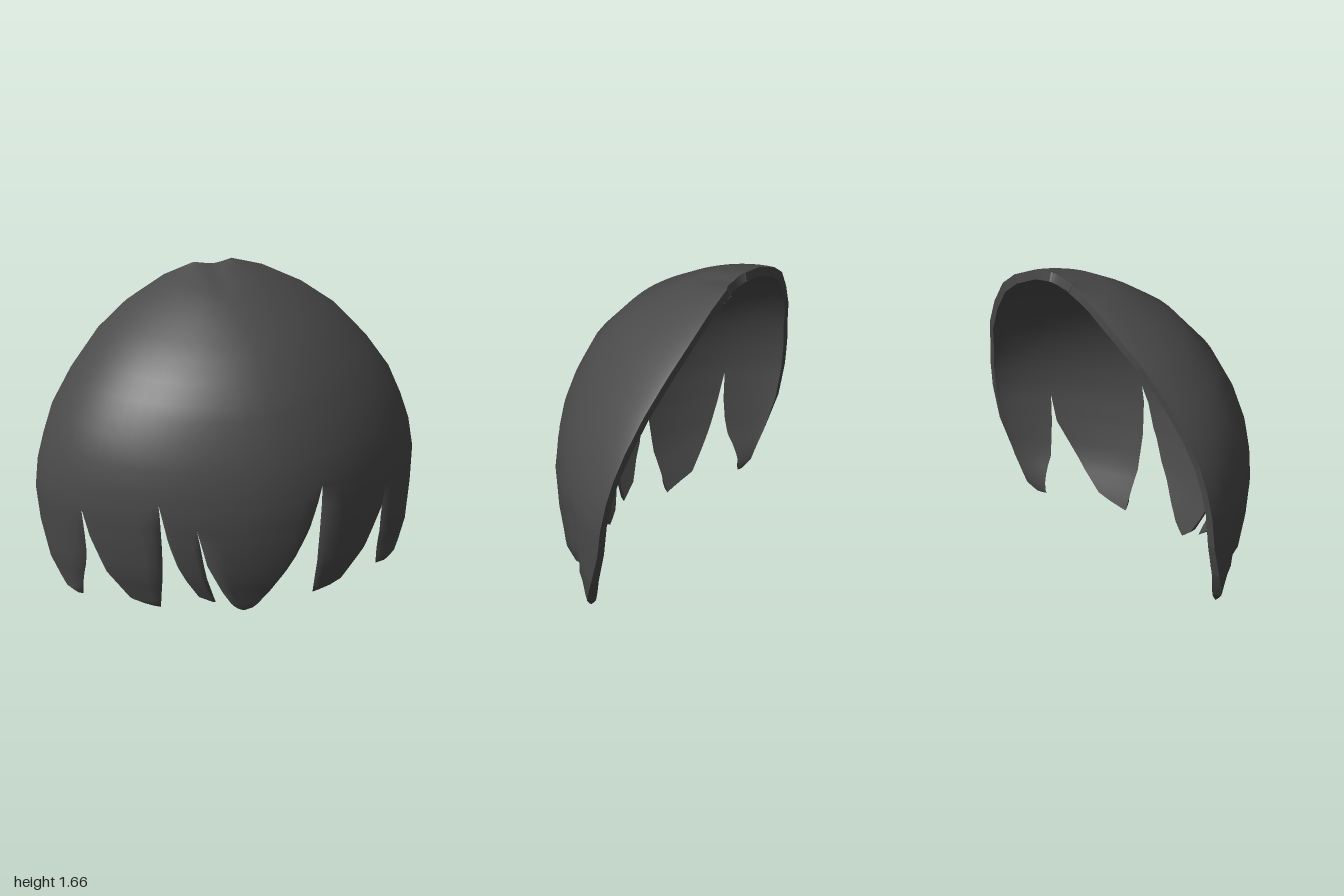
import * as THREE from 'three';

// Shell sections: height, half width, front depth, back depth, roundness power on the -x and +x sides
const SECTIONS = [
  [0, 0.8, 0.34, 0.02, 1.25, 1.3], [0.03, 0.825, 0.345, 0, 1.15, 1.25],
  [0.08, 0.87, 0.36, -0.05, 1, 1.1], [0.23, 0.94, 0.412, -0.115, 0.78, 0.88],
  [0.42, 0.98, 0.45, -0.175, 0.66, 0.8], [0.6, 1, 0.465, -0.205, 0.6, 0.76],
  [0.75, 0.985, 0.457, -0.23, 0.55, 0.75], [0.88, 0.95, 0.436, -0.255, 0.5, 0.75],
  [1.03, 0.895, 0.39, -0.295, 0.47, 0.77], [1.2, 0.785, 0.31, -0.342, 0.46, 0.78],
  [1.38, 0.625, 0.155, -0.4, 0.48, 0.78], [1.5, 0.465, -0.02, -0.435, 0.55, 0.75],
  [1.61, 0.26, -0.22, -0.455, 0.65, 0.72], [1.66, 0.1, -0.44, -0.46, 0.72, 0.72],
];
const TOP = 1.66, LIMIT = 1.55, THICK = 0.05;

// Linear lookup in a table sorted by its first column
function lookup(table, y, col) {
  if (y <= table[0][0]) return table[0][col];
  for (let i = 1; i < table.length; i++) {
    const p = table[i - 1], q = table[i];
    if (y <= q[0]) return THREE.MathUtils.lerp(p[col], q[col], (y - p[0]) / (q[0] - p[0]));
  }
  return table[table.length - 1][col];
}
const clamp = THREE.MathUtils.clamp;
const angleAt = (x, y) => clamp(Math.asin(clamp(x / lookup(SECTIONS, y, 1), -1, 1)), -LIMIT, LIMIT);

// Point on the outer hair surface, with a small dip at the crown
function surface(a, y) {
  const x = Math.sin(a) * lookup(SECTIONS, y, 1);
  const front = lookup(SECTIONS, y, 2), back = lookup(SECTIONS, y, 3);
  const power = 2 * lookup(SECTIONS, y, a < 0 ? 4 : 5);
  const z = back + (front - back) * Math.pow(Math.max(0, Math.cos(a)), power);
  const dip = 0.01 * Math.max(0, 1 - Math.abs(x) / 0.08) * clamp((y - 1.58) / 0.06, 0, 1);
  return new THREE.Vector3(x, y - dip, z);
}
function surfaceNormal(a, y) {
  const e = 0.06;
  const across = surface(Math.min(a + e, LIMIT), y).sub(surface(Math.max(a - e, -LIMIT), y));
  const up = surface(a, Math.min(y + e, TOP)).sub(surface(a, Math.max(y - e, 0)));
  return across.cross(up).normalize();
}

// Step from the outer to the inner skin, kept level among the locks
function inset(a, y) {
  const step = surfaceNormal(a, y);
  step.y *= clamp((y - 0.6) / 0.4, 0, 1);
  return step.setLength(-THICK);
}

// Lock edges as [height, x] from the tip up to the notch; null is the outer rim
const LOCKS = [
  { name: 'rightSideLock', left: null, right: [[0.03, -0.785], [0.3, -0.785], [0.57, -0.82]] },
  { name: 'rightFrontLock',
    left: [[0.015, -0.425], [0.08, -0.58], [0.23, -0.7], [0.4, -0.775], [0.57, -0.82]],
    right: [[0.015, -0.425], [0.3, -0.44], [0.67, -0.47]] },
  { name: 'smallFrontLock',
    left: [[0.065, -0.16], [0.13, -0.26], [0.28, -0.36], [0.45, -0.42], [0.67, -0.47]],
    right: [[0.065, -0.16], [0.25, -0.225], [0.53, -0.28]] },
  { name: 'centreLock',
    left: [[0, -0.01], [0.05, -0.08], [0.13, -0.13], [0.31, -0.22], [0.53, -0.28]],
    right: [[0, -0.01], [0.05, 0.06], [0.13, 0.13], [0.28, 0.24], [0.47, 0.33], [0.69, 0.4]] },
  { name: 'leftFrontLock',
    left: [[0.02, 0.375], [0.4, 0.385], [0.69, 0.4]],
    right: [[0.02, 0.38], [0.07, 0.52], [0.22, 0.66], [0.41, 0.77], [0.56, 0.8]] },
  { name: 'leftSideLock', left: [[0.03, 0.765], [0.3, 0.78], [0.56, 0.8]], right: null },
];
const ROWS = [1.66, 1.635, 1.61, 1.56, 1.5, 1.44, 1.38, 1.29, 1.2, 1.12, 1.03, 0.88, 0.75, 0.69, 0.67,
  0.6, 0.57, 0.56, 0.53, 0.47, 0.42, 0.31, 0.23, 0.18, 0.13, 0.08, 0.05, 0.03];
const COLUMNS = [0, 0.08, 0.2, 0.4, 0.6, 0.8, 0.92, 1];

// Angle of a cut edge, which lies on the inner skin; above its notch it runs up to the crown
const notchOf = edge => edge[edge.length - 1][0];
function edgeAngle(edge, y, side) {
  if (!edge) return side * LIMIT;
  const level = Math.min(y, notchOf(edge));
  const target = lookup(edge, level, 1);
  let x = target, a = angleAt(x, level);
  for (let k = 0; k < 5; k++) {
    x += target - (surface(a, level).x + inset(a, level).x);
    a = angleAt(x, level);
  }
  return a;
}

// How far the outer skin curls in to the inner one near a cut edge, from 0 to 1
function edgeCurl(edge, y, t) {
  if (!edge) return 0;
  const strength = clamp(1 - (y - notchOf(edge)) / 0.07, 0, 1);
  return strength * Math.pow(clamp(1 - t / 0.2, 0, 1), 2);
}
// Sideways lean of the normal on a curled edge, fading out at the notch
const lean = (edge, y) => edge ? clamp((notchOf(edge) - y) / 0.12, 0, 1) : 0;

function lockGeometry({ left, right }) {
  const tip = (left || right)[0][0], cols = COLUMNS.length - 1;
  const rows = [...ROWS.filter(y => y > tip + 0.005), tip];
  const positions = [], normals = [], index = [];
  const outer = [], inner = [];
  const add = (p, n) => { positions.push(p.x, p.y, p.z); normals.push(n.x, n.y, n.z); return positions.length / 3 - 1; };
  const quad = (a, b, c, d) => index.push(a, b, c, a, c, d);

  // Outer skin, rounded in at the cuts and tip, and inner skin
  for (const y of rows) {
    const a0 = edgeAngle(left, y, -1), a1 = edgeAngle(right, y, 1);
    const tipCurl = Math.pow(clamp(1 - (y - tip) / 0.07, 0, 1), 2);
    const o = [], n = [];
    for (const t of COLUMNS) {
      const a = THREE.MathUtils.lerp(a0, a1, t);
      const step = inset(a, y), normal = surfaceNormal(a, y);
      const curlL = edgeCurl(left, y, t), curlR = edgeCurl(right, y, 1 - t);
      const p = surface(a, y), q = p.clone().add(step);
      p.addScaledVector(step, Math.max(curlL, curlR, tipCurl));
      const tilt = lean(right, y) * curlR - lean(left, y) * curlL;
      const sideways = new THREE.Vector3(normal.z, 0, -normal.x);
      const round = normal.clone().addScaledVector(sideways, tilt);
      round.y -= tipCurl;
      o.push({ p, id: add(p, round.normalize()) });
      n.push({ p: q, id: add(q, normal.negate()) });
    }
    outer.push(o);
    inner.push(n);
  }
  for (let i = 0; i < rows.length - 1; i++) {
    for (let j = 0; j < cols; j++) {
      quad(outer[i][j].id, outer[i + 1][j].id, outer[i + 1][j + 1].id, outer[i][j + 1].id);
      quad(inner[i][j].id, inner[i][j + 1].id, inner[i + 1][j + 1].id, inner[i + 1][j].id);
    }
  }

  // Walls closing the shell along its back rim and crown
  const wall = (...corners) => {
    const [a, b, c, d] = corners.map(v => v.p);
    const n = c.clone().sub(a).cross(d.clone().sub(b)).normalize();
    quad(...[a, b, c, d].map(p => add(p, n)));
  };
  for (let i = 0; i < rows.length - 1; i++) {
    if (!left) wall(outer[i][0], inner[i][0], inner[i + 1][0], outer[i + 1][0]);
    if (!right) wall(outer[i + 1][cols], inner[i + 1][cols], inner[i][cols], outer[i][cols]);
  }
  for (let j = 0; j < cols; j++) wall(outer[0][j], outer[0][j + 1], inner[0][j + 1], inner[0][j]);

  const geometry = new THREE.BufferGeometry();
  geometry.setAttribute('position', new THREE.Float32BufferAttribute(positions, 3));
  geometry.setAttribute('normal', new THREE.Float32BufferAttribute(normals, 3));
  geometry.setIndex(index);
  return geometry;
}

export function createModel() {
  const group = new THREE.Group();
  group.name = 'hairFringe';
  const hair = new THREE.MeshStandardMaterial({ color: 0x4a4a4a });
  hair.name = 'charcoalHair';
  for (const lock of LOCKS) {
    const mesh = new THREE.Mesh(lockGeometry(lock), hair);
    mesh.name = lock.name;
    group.add(mesh);
  }
  return group;
}
